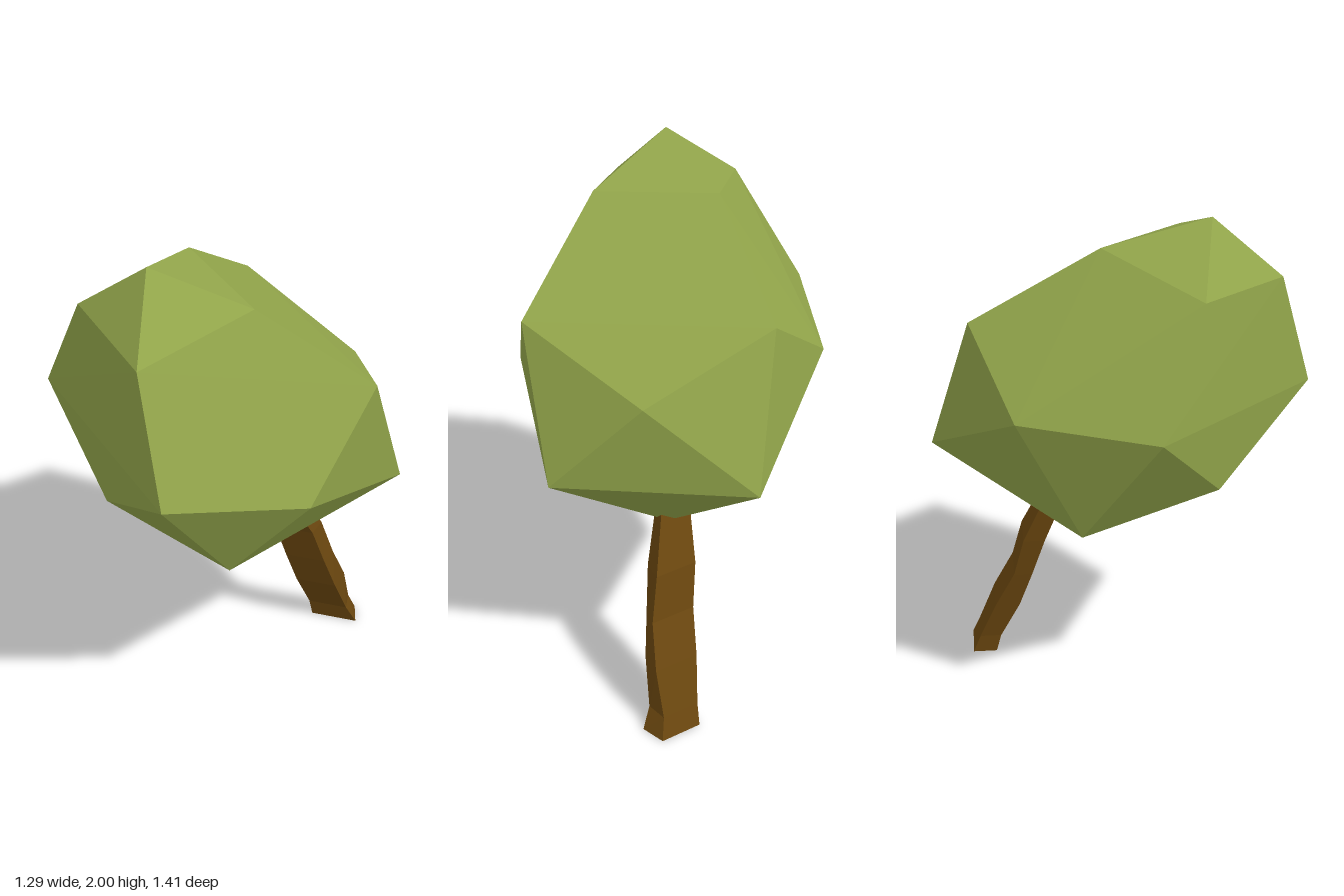
import * as THREE from 'three';
import { ConvexGeometry } from 'three/addons/geometries/ConvexGeometry.js';

function material(name, color) {
  const m = new THREE.MeshStandardMaterial({ color });
  m.name = name;
  return m;
}

// Faceted crown: the hull of its corner points
function crownGeometry() {
  const corners = [
    // top ridge
    [-0.17, 2.0, 0.305], [-0.145, 1.89, -0.08], [0.185, 1.86, 0.235],
    // upper ring
    [-0.445, 1.79, 0.25], [-0.12, 1.755, 0.57], [0.585, 1.53, 0.065],
    [0.4, 1.36, -0.43], [-0.06, 1.595, -0.55], [-0.39, 1.34, -0.4],
    // widest ring
    [-0.645, 1.36, 0.09], [0, 1.3, 0.705], [0.435, 1.19, 0.38],
    [0.645, 1.0, -0.19], [0.1, 1.05, -0.705],
    // underside
    [-0.34, 1.03, 0.33], [0.14, 0.845, 0.37], [-0.4, 0.89, -0.17], [0.19, 0.725, -0.26],
  ];
  return new ConvexGeometry(corners.map((p) => new THREE.Vector3(...p)));
}

// Leaning four-sided trunk, lofted through cross-sections
function trunkGeometry() {
  // height, left x, front right x, back right x, front z, back z
  const sections = [
    [0, 0.26, 0.45, 0.425, -0.49, -0.585],
    [0.08, 0.25, 0.41, 0.4, -0.47, -0.555],
    [0.25, 0.21, 0.375, 0.39, -0.39, -0.487],
    [0.41, 0.175, 0.335, 0.355, -0.337, -0.41],
    [0.58, 0.14, 0.295, 0.31, -0.285, -0.37],
    [0.78, 0.11, 0.21, 0.235, -0.21, -0.285],
  ];
  const positions = [];
  for (const [y, left, rightFront, rightBack, front, back] of sections) {
    positions.push(left, y, front, rightFront, y, front, rightBack, y, back, left, y, back);
  }
  const index = [0, 3, 2, 0, 2, 1]; // foot
  for (let i = 0; i < sections.length - 1; i++) {
    for (let j = 0; j < 4; j++) {
      const a = i * 4 + j;
      const b = i * 4 + ((j + 1) % 4);
      index.push(a, b, b + 4, a, b + 4, a + 4);
    }
  }
  const t = (sections.length - 1) * 4;
  index.push(t, t + 1, t + 2, t, t + 2, t + 3); // top end
  const indexed = new THREE.BufferGeometry();
  indexed.setAttribute('position', new THREE.Float32BufferAttribute(positions, 3));
  indexed.setIndex(index);
  const flat = indexed.toNonIndexed();
  flat.computeVertexNormals();
  return flat;
}

export function createModel() {
  const group = new THREE.Group();
  group.name = 'tree';

  const crown = new THREE.Mesh(crownGeometry(), material('leaf green', 0x93a64b));
  crown.name = 'crown';

  const trunk = new THREE.Mesh(trunkGeometry(), material('bark brown', 0x6b470f));
  trunk.name = 'trunk';

  group.add(crown, trunk);
  return group;
}
